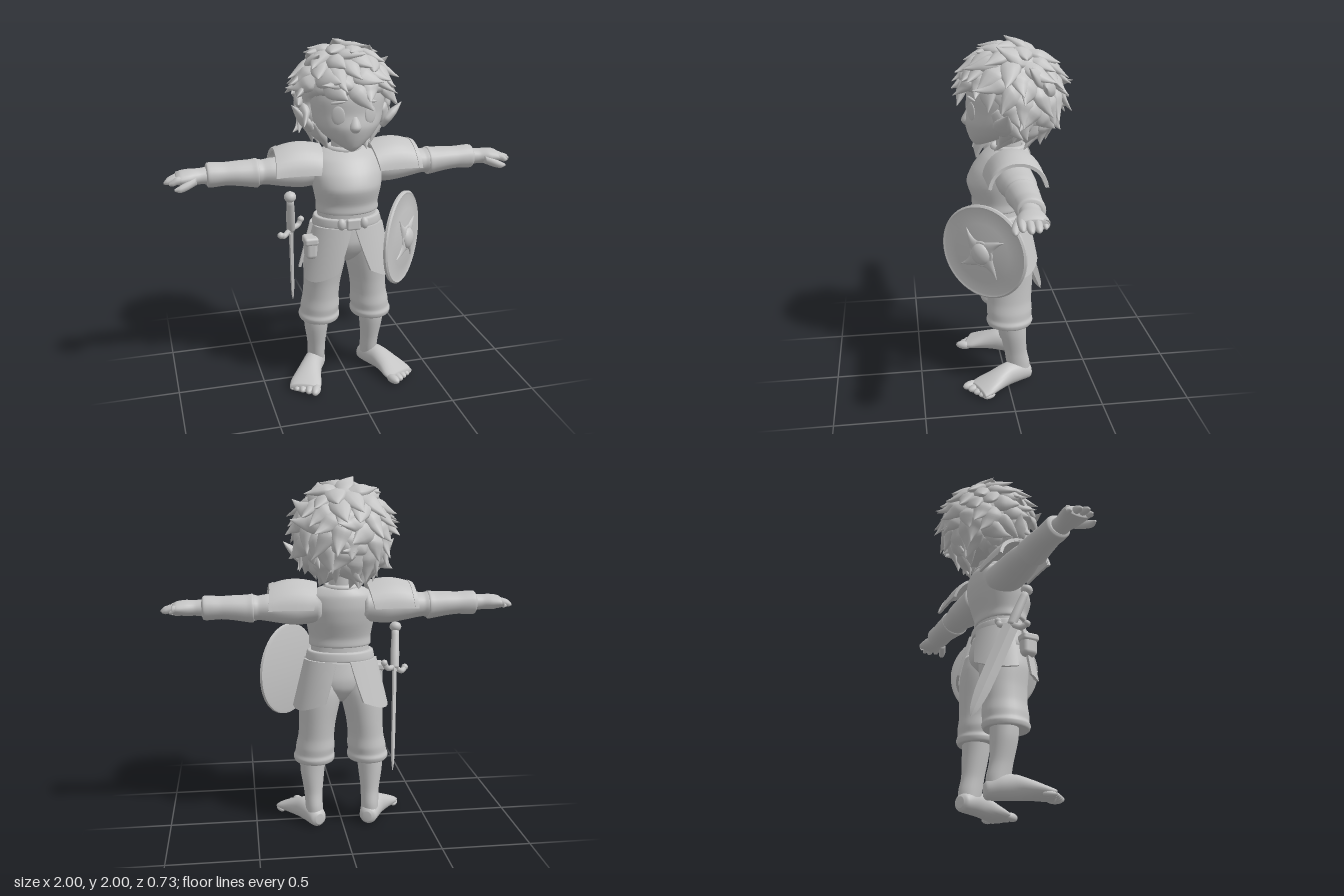
import * as THREE from 'three';
import { toCreasedNormals } from 'three/addons/utils/BufferGeometryUtils.js';
import { RoundedBoxGeometry } from 'three/addons/geometries/RoundedBoxGeometry.js';

const V = (x, y, z) => new THREE.Vector3(x, y, z);
const clay = new THREE.MeshStandardMaterial({ color: 0xc4c4c4, side: THREE.DoubleSide });
clay.name = 'grey clay';

// Surface from rows of points; every row is a closed ring
function grid(rows, cols, fn) {
  const pos = [], idx = [];
  for (let i = 0; i < rows; i++) for (let j = 0; j < cols; j++) pos.push(...fn(i, j).toArray());
  for (let i = 0; i < rows - 1; i++) for (let j = 0; j < cols; j++) {
    const a = i * cols + j, b = i * cols + (j + 1) % cols;
    idx.push(a, a + cols, b, b, a + cols, b + cols);
  }
  const g = new THREE.BufferGeometry();
  g.setAttribute('position', new THREE.Float32BufferAttribute(pos, 3));
  g.setIndex(idx);
  g.computeVertexNormals();
  return g;
}
// Smooth capped body along y; each section is [y, centreX, centreZ, radiusX, radiusZ]
function loft(sections, cols = 24, per = 5) {
  const curve = (f) => new THREE.CatmullRomCurve3(sections.map(f), false, 'catmullrom', 0.4);
  const mid = curve((s) => V(s[1], s[0], s[2])), rad = curve((s) => V(s[3], 0, s[4]));
  const n = (sections.length - 1) * per;
  return grid(n + 3, cols, (i, j) => {
    const t = Math.min(Math.max(i - 1, 0), n) / n, a = j / cols * Math.PI * 2;
    const p = mid.getPoint(t), r = rad.getPoint(t), k = i === 0 || i === n + 2 ? 0 : 1;
    return V(p.x + Math.max(r.x, 0) * Math.cos(a) * k, p.y, p.z + Math.max(r.z, 0) * Math.sin(a) * k);
  });
}
// Thick curved plate; f(u, v, offset) gives a point
function plate(f, thick = 0.015, nu = 8, nv = 16) {
  const g = grid(nu + 3, (nv + 1) * 2, (i, j) => {
    const u = Math.min(Math.max(i - 1, 0), nu) / nu, inner = j > nv;
    const v = (inner ? 2 * nv + 1 - j : j) / nv;
    return f(u, v, inner || i === 0 || i === nu + 2 ? 0 : thick);
  });
  return toCreasedNormals(g, 0.7);
}
function add(parent, name, geo, x = 0, y = 0, z = 0) {
  const m = new THREE.Mesh(geo, clay);
  m.name = name;
  m.position.set(x, y, z);
  parent.add(m);
  return m;
}
const ball = (rx, ry, rz) => new THREE.SphereGeometry(1, 20, 14).scale(rx, ry, rz);
const alongX = (s, cols) => loft(s, cols).rotateZ(-Math.PI / 2);

function makeArm() {
  const g = new THREE.Group();
  add(g, 'sleeve', alongX([[.12, -1.29, -.03, .09, .1], [.25, -1.275, -.03, .09, .105], [.36, -1.28, -.03, .08, .1],
    [.42, -1.285, -.03, .074, .09], [.465, -1.285, -.03, .068, .082], [.5, -1.285, -.03, .074, .085], [.56, -1.285, -.03, .06, .07]]));
  add(g, 'bracer', alongX([[.485, -1.285, -.03, .06, .07], [.495, -1.283, -.03, .08, .088], [.53, -1.283, -.03, .076, .085],
    [.6, -1.288, -.03, .069, .08], [.67, -1.29, -.03, .064, .074], [.73, -1.29, -.03, .068, .074], [.765, -1.29, -.03, .066, .072],
    [.775, -1.29, -.03, .045, .055]]));
  add(g, 'hand', alongX([[.75, -1.29, -.025, .05, .055], [.81, -1.29, -.02, .043, .054], [.86, -1.29, -.015, .044, .07],
    [.91, -1.29, -.015, .037, .076], [.935, -1.285, -.015, .026, .068]]));
  // Four fingers and a thumb
  [[-.07, .95], [-.033, .99], [.004, 1], [.04, .975]].forEach(([z, tip]) =>
    add(g, 'finger', alongX([[.88, -1.29, z * .9, .02, .02], [.93, -1.29, z, .022, .021], [tip - .02, -1.278, z, .018, .018],
      [tip, -1.272, z, .006, .006]], 10)));
  add(g, 'thumb', alongX([[.83, -1.28, .03, .024, .024], [.88, -1.262, .055, .024, .024], [.92, -1.25, .068, .02, .019],
    [.95, -1.248, .071, .006, .006]], 10));
  // Shoulder armour with a thin raised border, corners drawn in toward the bottom
  const shell = (x0, x1, grow) => plate((u, v, t) => {
    const x = x0 + (x1 - x0) * u, k = (x - .15) / .27, a = (v - .5) * 2.9, side = 1 - Math.cos(a);
    const r = .14 + .03 * Math.sin(k * 2.4) - .035 * k * k + grow + t;
    return V(x - .012 + .035 * (1 - k) * side + .015 * k * side, 1.268 + r * Math.cos(a),
      -.025 + (.148 - .008 * k + grow + t) * Math.sin(a));
  });
  add(g, 'shoulderPlate', shell(.15, .41, 0));
  add(g, 'shoulderBorder', shell(.39, .415, .005));
  return g;
}

function makeLeg() {
  const g = new THREE.Group();
  add(g, 'trouserLeg', loft([[.88, .1, .005, .1, .138], [.8, .112, -.005, .114, .144], [.73, .125, -.01, .118, .142],
    [.62, .137, -.015, .106, .132], [.53, .145, -.015, .104, .127], [.47, .15, -.015, .112, .131], [.43, .155, -.015, .112, .128],
    [.405, .157, -.015, .12, .134], [.38, .157, -.015, .112, .124], [.385, .157, -.02, .08, .09]], 28));
  add(g, 'shin', loft([[.43, .165, -.03, .078, .08], [.32, .17, -.035, .07, .076], [.2, .167, -.05, .054, .066],
    [.12, .165, -.065, .051, .068], [.05, .165, -.075, .05, .06]]));
  // Bare foot turned outward
  const foot = new THREE.Group();
  foot.position.set(.165, 0, -.08);
  foot.rotation.y = .42;
  g.add(foot);
  add(foot, 'foot', loft([[-.065, 0, -.05, .025, .03], [-.045, 0, -.052, .05, .05], [.02, 0, -.065, .06, .065], [.1, .005, -.066, .062, .066],
    [.18, .01, -.052, .076, .052], [.25, .01, -.036, .092, .036], [.3, .01, -.025, .088, .024]]).rotateX(Math.PI / 2));
  [-.06, -.021, .018, .054, .084].forEach((x, i) =>
    add(foot, 'toe', ball(.026 - i * .0015, .025 - i * .002, .05 - i * .003), x, .025 - i * .002, .305 - i * .01));
  // Hip armour, front and back; the inner edge slants from a0 at the belt to a1 at the hem
  const hip = (a0, a1, outer, drop, flare) => plate((u, v, t) => {
    const inner = a0 + (a1 - a0) * u, a = inner + (outer - inner) * v, s = u * (.8 + .2 * Math.sin(v * 2.2));
    return V((.195 + .07 * s + t) * Math.sin(a), .98 - drop * s, .02 + (.148 + flare * s + t) * Math.cos(a));
  });
  add(g, 'frontHipPlate', hip(.05, .36, 1.25, .31, .05));
  add(g, 'backHipPlate', hip(2.95, 2.72, 1.65, .28, .075));
  return g;
}

function makeHead() {
  const g = new THREE.Group();
  add(g, 'face', loft([[1.415, 0, .135, .015, .02], [1.44, 0, .11, .06, .07], [1.49, 0, .06, .13, .14], [1.55, 0, .015, .185, .198],
    [1.62, 0, -.01, .21, .212], [1.7, 0, -.02, .22, .222], [1.8, 0, -.03, .2, .2], [1.9, 0, -.03, .1, .1]], 32));
  add(g, 'nose', loft([[1.505, 0, .18, .006, .006], [1.55, 0, .196, .034, .036], [1.6, 0, .182, .026, .028], [1.65, 0, .172, .012, .012]], 14));
  for (const s of [1, -1]) {
    add(g, 'eye', ball(.037, .05, .008), s * .088, 1.62, .184).rotation.y = s * .42;
    add(g, 'brow', ball(.042, .008, .01), s * .09, 1.69, .184).rotation.set(0, s * .42, s * -.15);
    const ear = add(g, 'ear', loft([[-.02, 0, 0, .018, .03], [.03, 0, 0, .026, .055], [.08, .004, -.005, .022, .045],
      [.12, .008, -.02, .011, .022], [.15, .01, -.03, .001, .002]], 14), s * .212, 1.535, .03);
    ear.rotation.set(-.1, s * -.3, s * -.68);
  }
  // Hair cap, opened over the face
  const cap = (d) => {
    const w = d.y < 0 ? 1 + .28 * d.y * d.y : 1;
    return V(-.008 + .248 * d.x * w, 1.705 + .25 * d.y, -.04 + .268 * d.z * w);
  };
  const hair = new THREE.SphereGeometry(1, 40, 30), p = hair.attributes.position, q = V();
  for (let i = 0; i < p.count; i++) {
    const c = cap(q.fromBufferAttribute(p, i));
    const open = THREE.MathUtils.smoothstep(c.y, 1.69, 1.77);
    const limit = .05 - .35 * Math.max(0, 1.6 - c.y) + open * .3;
    p.setXYZ(i, c.x, c.y, Math.min(c.z, limit));
  }
  hair.computeVertexNormals();
  add(g, 'hairCap', hair);
  // Broad curls flowing away from the crown and flicking outward
  let seed = 11;
  const rnd = () => (seed = (seed * 16807) % 2147483647) / 2147483647;
  const crown = V(0, .93, -.36).normalize(), N = 125;
  for (let i = 0; i < N; i++) {
    const y = 1 - 1.88 * (i + .5) / N, a = i * 2.39996, r = Math.sqrt(1 - y * y);
    const d = V(r * Math.cos(a), y, r * Math.sin(a)), base = cap(d);
    const jitter = rnd(), swirl = (rnd() - .5) * 2.4;
    const fringe = base.z > .04 && base.y < 1.88;
    if ((fringe && base.y < 1.75) || (base.y < 1.5 && base.z > -.04)) continue;
    const flow = d.clone().multiplyScalar(d.dot(crown)).sub(crown).normalize().applyAxisAngle(d, swirl);
    const L = (fringe ? .085 : .095) + .04 * jitter, w = .05 + .014 * rnd();
    const out = y > .75 ? .02 : .02 + .035 * rnd(), bend = (rnd() - .5) * .1;
    const tuft = loft([[-.45 * L, 0, -.025, w * .5, .012], [.05 * L, 0, -.006, w, .03], [.45 * L, bend * .3, .002, w * .85, .026],
      [.8 * L, bend * .8, out * .5, w * .42, .014], [1.1 * L, bend * 1.5, out, .002, .002]], 10, 4);
    const m = add(g, 'hairTuft', tuft, base.x, base.y, base.z);
    m.quaternion.setFromRotationMatrix(new THREE.Matrix4().makeBasis(flow.clone().cross(d), flow, d));
  }
  return g;
}

function makeShield() {
  const g = new THREE.Group();
  const profile = [[0, -.012], [.25, -.022], [.266, -.018], [.268, -.004], [.258, .004], [.246, 0], [.17, .012], [.09, .02], [0, .026]];
  add(g, 'shieldDisc', toCreasedNormals(new THREE.LatheGeometry(profile.map((a) => new THREE.Vector2(...a)), 48).rotateX(Math.PI / 2), .8));
  add(g, 'boss', ball(.058, .062, .034), 0, 0, .025);
  add(g, 'bossRing', new THREE.TorusGeometry(.064, .012, 8, 28), 0, 0, .018);
  for (const a of [.75, 2.4, 3.9, 5.5]) {
    const ray = add(g, 'bossRay', loft([[.045, 0, .014, .055, .02], [.08, .002, .014, .032, .018], [.12, .012, .012, .016, .014],
      [.16, .03, .01, .002, .006]], 12));
    ray.rotation.z = a - Math.PI / 2;
  }
  g.position.set(.3, .89, .15);
  g.rotation.y = .89;
  return g;
}

function makeSword() {
  const g = new THREE.Group(), hilt = new THREE.Group();
  const blade = add(g, 'blade', toCreasedNormals(loft([[0, 0, 0, .013, .042], [-.25, 0, 0, .012, .042], [-.42, 0, 0, .011, .038],
    [-.53, 0, 0, .008, .022], [-.58, 0, 0, .001, .001]], 4), .5));
  blade.rotation.y = -.3;
  add(hilt, 'grip', loft([[0, 0, 0, .024, .024], [.08, 0, 0, .026, .026], [.22, 0, 0, .021, .021]], 14));
  add(hilt, 'pommel', ball(.034, .03, .034), 0, .245, 0);
  const guard = new THREE.CatmullRomCurve3([V(0, .02, -.09), V(0, -.005, -.065), V(0, .005, 0), V(0, -.005, .065), V(0, .02, .09)]);
  add(hilt, 'guard', new THREE.TubeGeometry(guard, 20, .016, 8));
  for (const s of [1, -1]) add(hilt, 'guardTip', ball(.019, .019, .019), 0, .02, s * .09);
  hilt.rotation.y = -.9;
  g.add(hilt);
  g.position.set(-.305, .92, -.06);
  g.quaternion.setFromUnitVectors(V(0, 1, 0), V(-.045, .53, .21).normalize());
  return g;
}

export function createModel() {
  const root = new THREE.Group();
  root.name = 'youngAdventurer';
  const put = (name, g) => { g.name = name; root.add(g); };
  // Torso, neck and waist
  add(root, 'breastplate', loft([[1.055, 0, .03, .15, .11], [1.06, 0, .035, .178, .142], [1.11, 0, .035, .178, .145], [1.2, 0, .033, .195, .174],
    [1.28, 0, .01, .205, .165], [1.35, 0, -.015, .185, .135], [1.39, 0, -.03, .13, .1], [1.405, 0, -.035, .08, .07]], 36));
  add(root, 'collar', new THREE.TorusGeometry(.085, .018, 10, 28).rotateX(Math.PI / 2), 0, 1.395, -.03);
  add(root, 'neck', new THREE.CylinderGeometry(.068, .072, .16, 20), 0, 1.44, -.03);
  add(root, 'waist', loft([[.95, 0, .02, .185, .135], [1.02, 0, .025, .17, .13], [1.09, 0, .03, .165, .13]], 28));
  add(root, 'hips', loft([[.735, 0, -.01, .03, .05], [.77, 0, -.005, .07, .1], [.82, 0, 0, .17, .135], [.88, 0, .01, .208, .148],
    [.98, 0, .02, .185, .135]], 28));
  add(root, 'belt', loft([[.975, 0, .022, .18, .13], [.98, 0, .022, .198, .15], [1.025, 0, .024, .19, .147], [1.03, 0, .024, .17, .13]], 32));
  // Buckle, belt knots and pouch
  add(root, 'buckle', new RoundedBoxGeometry(.08, .065, .03, 3, .012), 0, 1.005, .175);
  for (const s of [1, -1]) add(root, 'beltKnot', ball(.024, .034, .024), s * .065, 1.005, .165);
  add(root, 'pouch', new RoundedBoxGeometry(.07, .12, .09, 4, .025), -.225, .86, .09);
  add(root, 'pouchFlap', new RoundedBoxGeometry(.08, .045, .1, 3, .015), -.227, .905, .09);
  // Limbs in mirrored pairs
  for (const [side, s] of [['left', 1], ['right', -1]]) {
    const arm = makeArm(), leg = makeLeg();
    arm.scale.x = leg.scale.x = s;
    put(side + 'Arm', arm);
    put(side + 'Leg', leg);
  }
  put('head', makeHead());
  put('shield', makeShield());
  put('sword', makeSword());
  return root;
}
